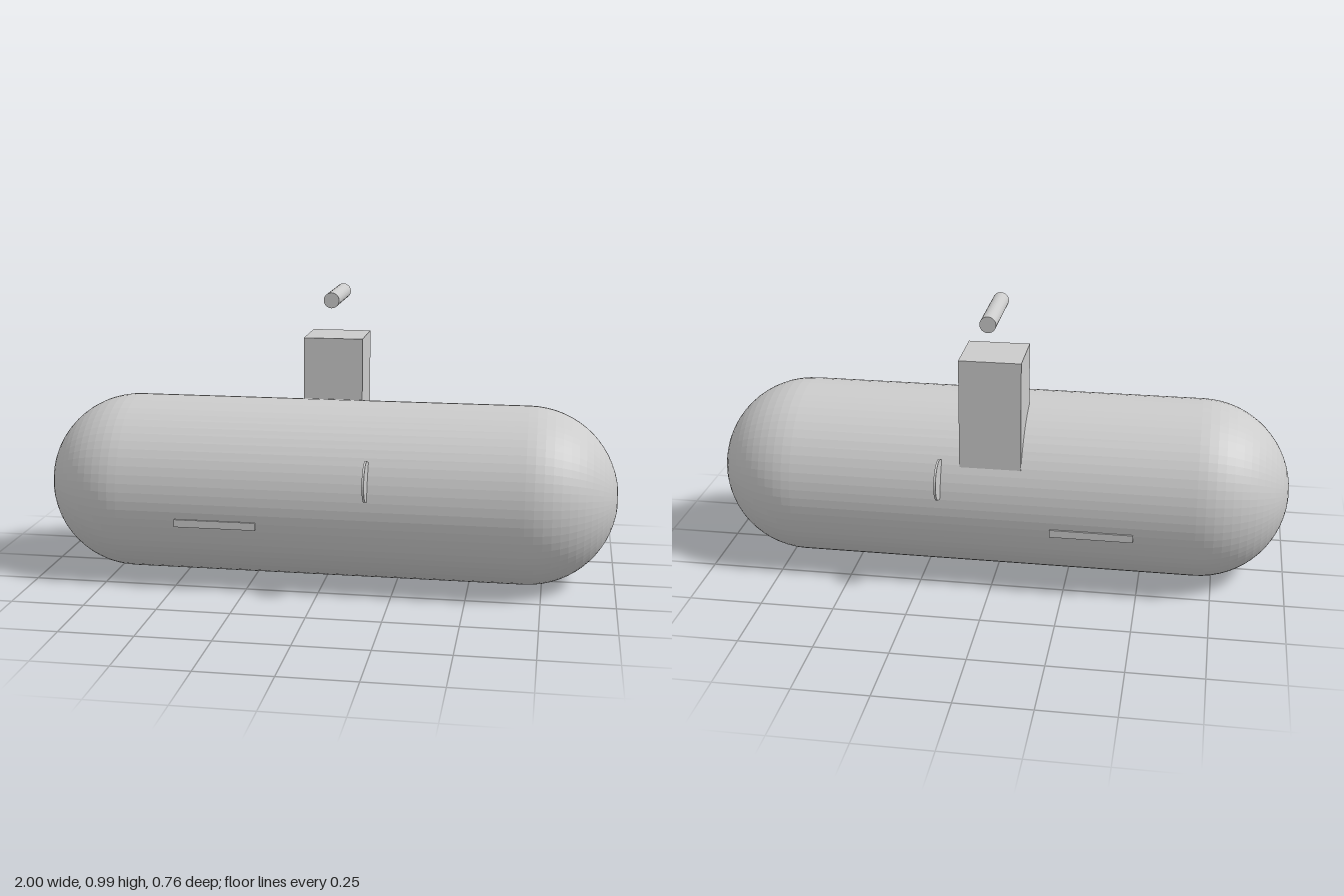
import * as THREE from 'three';

export function createModel() {
  const model = new THREE.Group();
  model.name = 'submarine';
  const material = new THREE.MeshStandardMaterial({ color: 0xcccccc, flatShading: true });

  const add = (name, geometry, x, y, z) => {
    const mesh = new THREE.Mesh(geometry, material);
    mesh.name = name;
    mesh.position.set(x, y, z);
    model.add(mesh);
    return mesh;
  };

  // Round-ended hull lying along x
  add('hull', new THREE.CapsuleGeometry(0.309, 1.382, 16, 64).rotateZ(Math.PI / 2), 0, 0.311, 0);

  // Tower set towards the back, sunk into the hull
  add('tower', new THREE.BoxGeometry(0.208, 0.41, 0.206), 0, 0.624, -0.172);

  // Rod hovering above the tower
  add('topRod', new THREE.CylinderGeometry(0.027, 0.027, 0.275, 32).rotateX(Math.PI / 2), 0, 0.967, -0.171);

  // Thin disc fin and flat strip on both sides
  for (const [side, s] of [['front', 1], ['back', -1]]) {
    add(side + 'DiscFin', new THREE.CylinderGeometry(0.069, 0.069, 0.007, 48).rotateZ(Math.PI / 2), 0.169, 0.416, s * 0.31);
    add(side + 'Strip', new THREE.BoxGeometry(0.28, 0.026, 0.03), -0.346, 0.243, s * 0.295);
  }

  return model;
}
